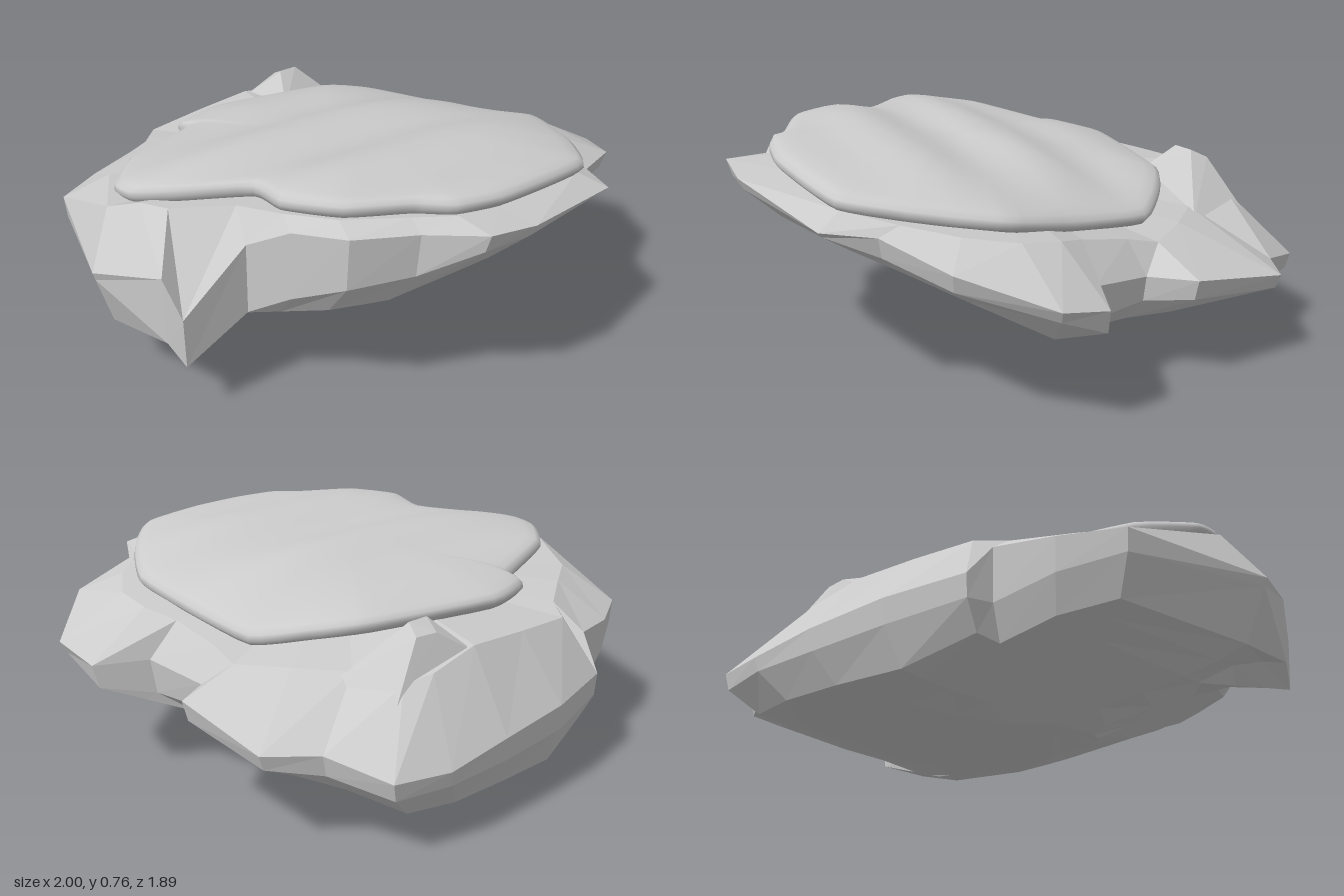
import * as THREE from 'three';

// Skin a stack of closed rings (bottom to top, each clockwise seen from above)
function loft(rings) {
  const n = rings[0].length, index = [];
  for (let i = 0; i < rings.length - 1; i++) {
    for (let j = 0; j < n; j++) {
      const a = i * n + j, b = i * n + (j + 1) % n, c = a + n, d = b + n;
      index.push(a, c, b, b, c, d);
    }
  }
  const geometry = new THREE.BufferGeometry().setFromPoints(rings.flat());
  geometry.setIndex(index);
  geometry.computeVertexNormals();
  return geometry;
}

const toVectors = points => points.map(p => new THREE.Vector3(...p));

// Underside: upper envelope of a few sloping planes
const bottom = (x, z) => Math.max(
  0,
  0.36 * (z + 0.18),
  0.1 + 0.5 * (z - 0.1),
  0.34 + 0.83 * (z - 0.58),
  0.34 + 0.6 * (z - 0.58) + 0.15 * (x + 0.29),
  0.33 + 0.5 * (z - 0.36) - 0.3 * (x + 0.64),
  0.06 + 0.14 * (x - 0.1),
  0.1 + 0.42 * (x - 0.38),
  0.09 + 0.34 * (-x - 0.69),
  0.09 + 0.55 * (-x - 0.69),
  0.01 + 0.5 * (-0.86 * x - 0.51 * z - 0.445),
  0.03 - 0.25 * (z + 0.53),
);

// Widest outline of the rock: x, z, lower edge y, upper edge y
const rim = [
  [-0.46, -0.78, 0.26, 0.34], [-0.19, -0.87, 0.23, 0.32], [0.1, -0.92, 0.22, 0.3],
  [0.35, -0.95, 0.22, 0.27], [0.55, -0.93, 0.22, 0.28], [0.66, -0.74, 0.26, 0.33],
  [0.82, -0.65, 0.29, 0.34], [0.86, -0.28, 0.33, 0.4], [0.73, -0.17, 0.3, 0.39],
  [0.79, 0.06, 0.3, 0.42], [0.97, 0.12, 0.34, 0.42], [1, 0.3, 0.42, 0.46],
  [0.81, 0.55, 0.49, 0.55], [0.55, 0.67, 0.53, 0.6], [0.48, 0.83, 0.6, 0.62],
  [0.02, 0.94, 0.64, 0.68], [-0.16, 0.93, 0.64, 0.7], [-0.28, 0.76, 0.52, 0.67],
  [-0.48, 0.67, 0.5, 0.68], [-0.57, 0.5, 0.42, 0.66], [-0.64, 0.36, 0.33, 0.58],
  [-0.87, 0.35, 0.21, 0.39], [-0.9, 0.29, 0.28, 0.52], [-1, 0.02, 0.42, 0.45],
  [-0.85, -0.5, 0.38, 0.46], [-0.67, -0.62, 0.33, 0.45], [-0.48, -0.69, 0.27, 0.46],
];

// Shoulder where the rock top meets the cap, one point per rim point
const shoulder = [
  [-0.38, 0.53, -0.68], [-0.15, 0.54, -0.72], [0.09, 0.55, -0.75],
  [0.28, 0.51, -0.78], [0.38, 0.49, -0.76], [0.42, 0.48, -0.56],
  [0.55, 0.48, -0.42], [0.66, 0.47, -0.26], [0.66, 0.5, -0.14],
  [0.69, 0.54, 0.05], [0.75, 0.57, 0.16], [0.76, 0.59, 0.3],
  [0.68, 0.61, 0.46], [0.55, 0.63, 0.6], [0.42, 0.66, 0.74],
  [0, 0.69, 0.8], [-0.15, 0.7, 0.78], [-0.27, 0.7, 0.7],
  [-0.45, 0.7, 0.58], [-0.55, 0.69, 0.43], [-0.6, 0.66, 0.25],
  [-0.78, 0.66, 0.14], [-0.83, 0.66, 0.05], [-0.89, 0.62, -0.06],
  [-0.74, 0.58, -0.34], [-0.6, 0.57, -0.45], [-0.44, 0.55, -0.58],
];

// Edge of the soft cap lying on the rock
const capEdge = [
  [-0.37, 0.625, -0.5], [-0.17, 0.62, -0.57], [0.3, 0.61, -0.5], [0.46, 0.59, -0.4],
  [0.6, 0.56, -0.25], [0.65, 0.595, 0.05], [0.69, 0.645, 0.3], [0.62, 0.67, 0.48],
  [0.55, 0.69, 0.61], [0.43, 0.71, 0.76], [0.2, 0.73, 0.8], [0, 0.74, 0.81],
  [-0.16, 0.75, 0.78], [-0.26, 0.755, 0.7], [-0.45, 0.76, 0.6], [-0.56, 0.75, 0.43],
  [-0.55, 0.73, 0.27], [-0.75, 0.705, 0.1], [-0.84, 0.69, 0], [-0.84, 0.68, -0.1],
  [-0.7, 0.67, -0.26], [-0.38, 0.64, -0.42],
];

function rockGeometry() {
  const px = -0.38, pz = -0.3;
  // Underside rings shrink toward the lowest area
  const under = [0, 0.2, 0.4, 0.6, 0.75, 0.88].map(s => rim.map(([x, z, low]) => {
    const X = px + (x - px) * s, Z = pz + (z - pz) * s;
    return new THREE.Vector3(X, Math.min(low, bottom(X, Z)), Z);
  }));
  const lower = rim.map(([x, z, low]) => new THREE.Vector3(
    px + (x - px) * 0.985, low, pz + (z - pz) * 0.985));
  const upper = rim.map(([x, z, , high]) => new THREE.Vector3(x, high, z));
  const middle = shoulder.map(() => new THREE.Vector3(-0.05, 0.62, 0.1));
  return loft([...under, lower, upper, toVectors(shoulder), middle]);
}

// Four-sided outcrop behind the cap
function outcropGeometry() {
  const base = [[0.09, 0.53, -0.75], [0.43, 0.44, -0.79], [0.48, 0.45, -0.54], [0.14, 0.54, -0.53]];
  const crest = [[0.22, 0.61, -0.72], [0.3, 0.61, -0.72], [0.28, 0.64, -0.66], [0.2, 0.64, -0.65]];
  const middle = crest.map(() => [0.25, 0.625, -0.69]);
  return loft([base, crest, middle].map(toVectors));
}

function capGeometry() {
  const curve = new THREE.CatmullRomCurve3(toVectors(capEdge), true, 'catmullrom', 0.25);
  const edge = curve.getPoints(88).slice(0, -1);
  const cx = -0.05, cz = 0.12;
  const ring = (s, drop = 0) => edge.map(p => {
    const x = cx + (p.x - cx) * s, z = cz + (p.z - cz) * s;
    // Gentle swell with folds running sideways
    const crown = 0.715 - 0.03 * x + 0.1 * z;
    const fold = 0.016 * Math.cos(z * Math.PI * 2 / 0.42);
    const blend = Math.max(0, 1 - s ** 3);
    return new THREE.Vector3(x, p.y + (crown + fold - p.y) * blend - drop, z);
  });
  return loft([
    ring(0.93, 0.06), ring(0.98, 0.052), ring(1, 0.03), ring(0.995, 0.012), ring(0.97, 0.002),
    ...[0.92, 0.84, 0.74, 0.64, 0.54, 0.44, 0.34, 0.24, 0.14, 0.06, 0].map(s => ring(s)),
  ]);
}

export function createModel() {
  const model = new THREE.Group();
  model.name = 'cappedRock';
  const stone = new THREE.MeshStandardMaterial({
    color: 0xcccccc, flatShading: true, side: THREE.DoubleSide });
  const moss = new THREE.MeshStandardMaterial({ color: 0xcccccc, side: THREE.DoubleSide });

  // Faceted boulder, its outcrop, and the smooth layer on top
  const parts = [
    ['rock', rockGeometry(), stone],
    ['outcrop', outcropGeometry(), stone],
    ['mossCap', capGeometry(), moss],
  ];
  for (const [name, geometry, material] of parts) {
    const mesh = new THREE.Mesh(geometry, material);
    mesh.name = name;
    model.add(mesh);
  }
  return model;
}
